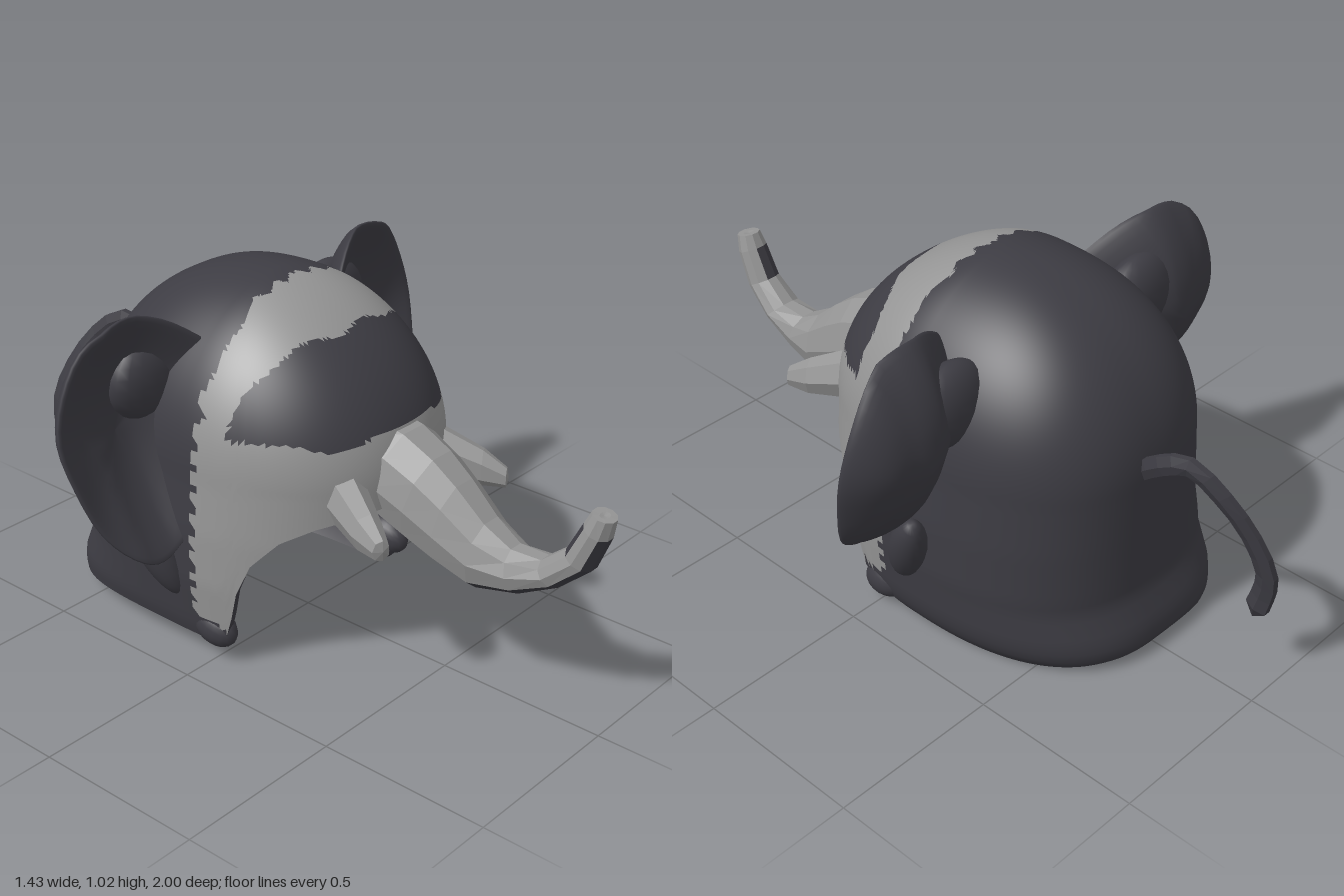
import * as THREE from 'three';

const dark = new THREE.MeshStandardMaterial({ color: 0x3d3c43 });
dark.name = 'charcoal';
const grey = new THREE.MeshStandardMaterial({ color: 0x959595 });
grey.name = 'midGrey';
const V = (x, y, z) => new THREE.Vector3(x, y, z);

// Surface from closed rings; pick(i, j, centre) returns 0 for charcoal, 1 for grey
function loft(name, rows, cols, point, pick, { flat = false, flip = false } = {}) {
  const pos = [], tris = [[], []], pts = [];
  for (let i = 0; i <= rows; i++)
    for (let j = 0; j < cols; j++) {
      const p = point(i, j);
      pts.push(p);
      pos.push(p.x, p.y, p.z);
    }
  const add = (i, j, a, b, c) => {
    const mid = V(0, 0, 0).add(pts[a]).add(pts[b]).add(pts[c]).divideScalar(3);
    tris[pick(i, j, mid)].push(a, flip ? c : b, flip ? b : c);
  };
  for (let i = 0; i < rows; i++)
    for (let j = 0; j < cols; j++) {
      const k = (j + 1) % cols;
      const a = i * cols + j, b = i * cols + k, c = a + cols, d = b + cols;
      add(i, j, a, b, c);
      add(i, j, b, d, c);
    }
  let g = new THREE.BufferGeometry();
  g.setAttribute('position', new THREE.Float32BufferAttribute(pos, 3));
  g.setIndex([...tris[0], ...tris[1]]);
  g.addGroup(0, tris[0].length, 0);
  g.addGroup(tris[0].length, tris[1].length, 1);
  if (flat) g = g.toNonIndexed();
  g.computeVertexNormals();
  const m = new THREE.Mesh(g, [dark, grey]);
  m.name = name;
  return m;
}

// Piecewise linear lookup
function lookup(table, v) {
  if (v <= table[0][0]) return table[0][1];
  for (let i = 1; i < table.length; i++) {
    const [x0, y0] = table[i - 1], [x1, y1] = table[i];
    if (v <= x1) return y0 + (y1 - y0) * (v - x0) / (x1 - x0);
  }
  return table[table.length - 1][1];
}

const TOP = 1.023, MIDZ = -0.1;
const widthLow = [[0, 0.365], [0.05, 0.4], [0.1, 0.415], [0.25, 0.43], [0.4, 0.428], [0.55, 0.415]];
const backLow = [[0, 0.55], [0.04, 0.59], [0.1, 0.585], [0.2, 0.548], [0.55, 0.54]];
const opening = [[0, 0.01], [0.03, 0.03], [0.05, 0.1], [0.07, 0.16], [0.09, 0.25], [0.13, 0.35],
  [0.2, 0.43], [0.27, 0.47], [0.36, 0.5]];

// Point on the hood at angle a (0 = front) and height y, inset by off
function hoodPoint(a, y, off) {
  const s = Math.max(0, (y - 0.55) / (TOP - off - 0.55));
  const k = Math.sqrt(Math.max(0, 1 - s * s));
  const front = Math.cos(a) > 0;
  const soft = v => Math.sign(v) * Math.pow(Math.abs(v), front ? 0.94 : 0.8);
  const depth = front ? 0.475 : lookup(backLow, y);
  // low flare on the right rear corner
  const corner = a > Math.PI && !front ? Math.pow(Math.sin(2 * a), 2) : 0;
  const flare = 1 + 0.09 * corner * Math.max(0, 1 - y / 0.35);
  return V(soft(Math.sin(a)) * k * (lookup(widthLow, y) - off) * flare, y,
    MIDZ + soft(Math.cos(a)) * Math.pow(k, front ? 1.3 : 0.87) * (depth - off) * flare);
}

// Lower rim height: flat around the back, arched over the face
function rimY(a) {
  const p = hoodPoint(a, 0.4, 0);
  return Math.max(lookup(opening, p.z) - 0.01, p.x < 0 ? 0.004 + 0.35 * p.x * p.x : 0.003);
}

// Grey face and band, with a charcoal brow and lower corners
function hoodPick(c) {
  const tooth = Math.abs(((c.y + Math.abs(c.x)) * 18) % 1 - 0.5) * 0.06;
  if (c.z < -0.06 + tooth || c.y < 0.13 - c.z * 0.1) return 0;
  const browTop = 0.92 - 0.6 * c.x * c.x - (c.x < 0 ? 50 : 65) * Math.pow(c.x, 6) + 0.006 * Math.sin(c.x * 30);
  const browBottom = 0.69 - 0.02 * Math.max(0, Math.sin(Math.abs(c.x) * 18 - 2.2));
  const browBack = 0.04 + (c.x < 0 ? 0 : 0.35 * (c.y - 0.69));
  return c.y > browBottom && c.y < browTop && c.z > browBack ? 0 : 1;
}

function hoodLayer(name, rows, cols, off, pick, flip) {
  return loft(name, rows, cols, (i, j) => {
    const a = j / cols * Math.PI * 2, y0 = rimY(a);
    return hoodPoint(a, y0 + (TOP - off - y0) * Math.sin(i / rows * Math.PI / 2), off);
  }, pick, { flip });
}

// Cupped ear with a rounded edge; s is +1 for the left, -1 for the right
function ear(s) {
  const outline = new THREE.CatmullRomCurve3([[0.24, 0.84], [0.32, 0.93], [0.42, 0.983], [0.51, 0.988],
    [0.61, 0.945], [0.68, 0.84], [0.716, 0.71], [0.695, 0.57], [0.65, 0.44], [0.58, 0.36], [0.51, 0.33],
    [0.44, 0.35], [0.36, 0.48], [0.28, 0.68]].map(([x, y]) => V(x, y, 0)), true);
  const cols = 44, rows = 20, rim = outline.getPoints(cols);
  return loft(s > 0 ? 'leftEar' : 'rightEar', rows, cols, (i, j) => {
    const f = i / rows * Math.PI, r = Math.sin(f);
    const x = 0.5 + (rim[j].x - 0.5) * r, y = 0.67 + (rim[j].y - 0.67) * r;
    const z = -0.19 - 0.2 * (y - 0.66) + Math.cos(f) * 0.042 + 0.14 * r * r - 0.09
      - Math.max(0, x - 0.56) * 0.45 + Math.max(0, 0.45 - x) * 0.35;
    return V(x * s, y, z);
  }, () => 0, { flip: s < 0 });
}

// Trunk sections: top z, y, bottom z, y, half width
function trunk() {
  const rings = [
    [0.20, 0.72, 0.24, 0.45, 0.15], [0.37, 0.69, 0.30, 0.42, 0.135], [0.465, 0.645, 0.40, 0.375, 0.125],
    [0.54, 0.59, 0.50, 0.335, 0.112], [0.63, 0.51, 0.61, 0.305, 0.095], [0.71, 0.462, 0.74, 0.335, 0.07],
    [0.80, 0.462, 0.86, 0.40, 0.06], [0.87, 0.52, 0.95, 0.48, 0.05], [0.915, 0.61, 0.99, 0.58, 0.045],
    [0.935, 0.65, 1.0, 0.635, 0.035], [0.955, 0.645, 0.98, 0.64, 0.018], [0.965, 0.64, 0.965, 0.64, 0]];
  return loft('trunk', rings.length - 1, 10, (i, j) => {
    const [tz, ty, bz, by, w] = rings[i], a = j / 10 * Math.PI * 2, h = Math.sin(a) / 2;
    return V(Math.cos(a) * w, (ty + by) / 2 + (ty - by) * h, (tz + bz) / 2 + (tz - bz) * h);
  }, (i, j) => ((i === 7 && (j === 2 || j === 3)) || (i < 8 && j >= 6 && j <= 8) ? 0 : 1), { flat: true });
}

// Short blunt tusk
function tusk(s) {
  const rings = [[0.15, 0.53, 0.23, 0.09], [0.2, 0.53, 0.31, 0.075], [0.25, 0.495, 0.42, 0.055],
    [0.272, 0.475, 0.485, 0.03], [0.272, 0.475, 0.492, 0]];
  return loft(s > 0 ? 'leftTusk' : 'rightTusk', 4, 7, (i, j) => {
    const [x, y, z, r] = rings[i], a = j / 7 * Math.PI * 2;
    return V(s * (x + Math.cos(a) * r * 0.7), y + Math.sin(a) * r, z - Math.cos(a) * r * 0.4);
  }, () => 1, { flat: true, flip: s < 0 });
}

// Curled tail with a wider tuft
function tail() {
  const path = new THREE.CatmullRomCurve3([V(0.04, 0.58, -0.61), V(0.05, 0.645, -0.69), V(0.04, 0.675, -0.77),
    V(0.015, 0.61, -0.86), V(-0.025, 0.5, -0.93), V(-0.055, 0.38, -0.968), V(-0.065, 0.3, -0.955),
    V(-0.065, 0.215, -0.93)]);
  const n = 14;
  return loft('tail', n, 6, (i, j) => {
    const t = i / n, p = path.getPoint(t), d = path.getTangent(t);
    const side = V(1, 0, 0), up = V(0, 0, 0).crossVectors(d, side).normalize();
    const r = i === n ? 0 : 0.022 + 0.012 * Math.max(0, t - 0.55), a = j / 6 * Math.PI * 2;
    return p.addScaledVector(side, Math.cos(a) * r * 0.8).addScaledVector(up, Math.sin(a) * r * 1.4);
  }, () => 0, { flat: true });
}

function blob(name, p, size, tilt) {
  const m = new THREE.Mesh(new THREE.SphereGeometry(1, 18, 12), dark);
  m.name = name;
  m.position.set(...p);
  m.scale.set(...size);
  m.rotation.set(...tilt);
  return m;
}

export function createModel() {
  const g = new THREE.Group();
  g.name = 'elephantHood';
  const cols = 144, inset = 0.035;

  // Hood: painted outside, dark lining and the rim between them
  g.add(hoodLayer('hood', 64, cols, 0, (i, j, c) => hoodPick(c), false));
  g.add(hoodLayer('lining', 24, cols, inset, () => 0, true));
  g.add(loft('rim', 1, cols, (i, j) => {
    const a = j / cols * Math.PI * 2;
    return hoodPoint(a, rimY(a), i ? 0 : inset);
  }, (i, j, c) => (c.z > 0.04 && c.y > 0.3 ? 1 : 0)));

  g.add(trunk(), tail());
  for (const s of [1, -1]) {
    const side = s > 0 ? 'left' : 'right';
    g.add(ear(s), tusk(s));
    // Ear roots, small folds under the ears and pads at the front corners
    g.add(blob(side + 'EarRoot', [s * 0.37, 0.78, -0.25], [0.14, 0.12, 0.07], [0, 0, 0]));
    g.add(blob(side + 'EarFold', [s * 0.44, 0.31, -0.165], [0.05, 0.15, 0.055], [-0.42, 0, -s * 0.25]));
    g.add(blob(side + 'CornerPad', [s * 0.375, s > 0 ? 0.075 : 0.1, -0.01], [0.045, 0.055, 0.075], [0.3, 0, 0]));
  }
  return g;
}
